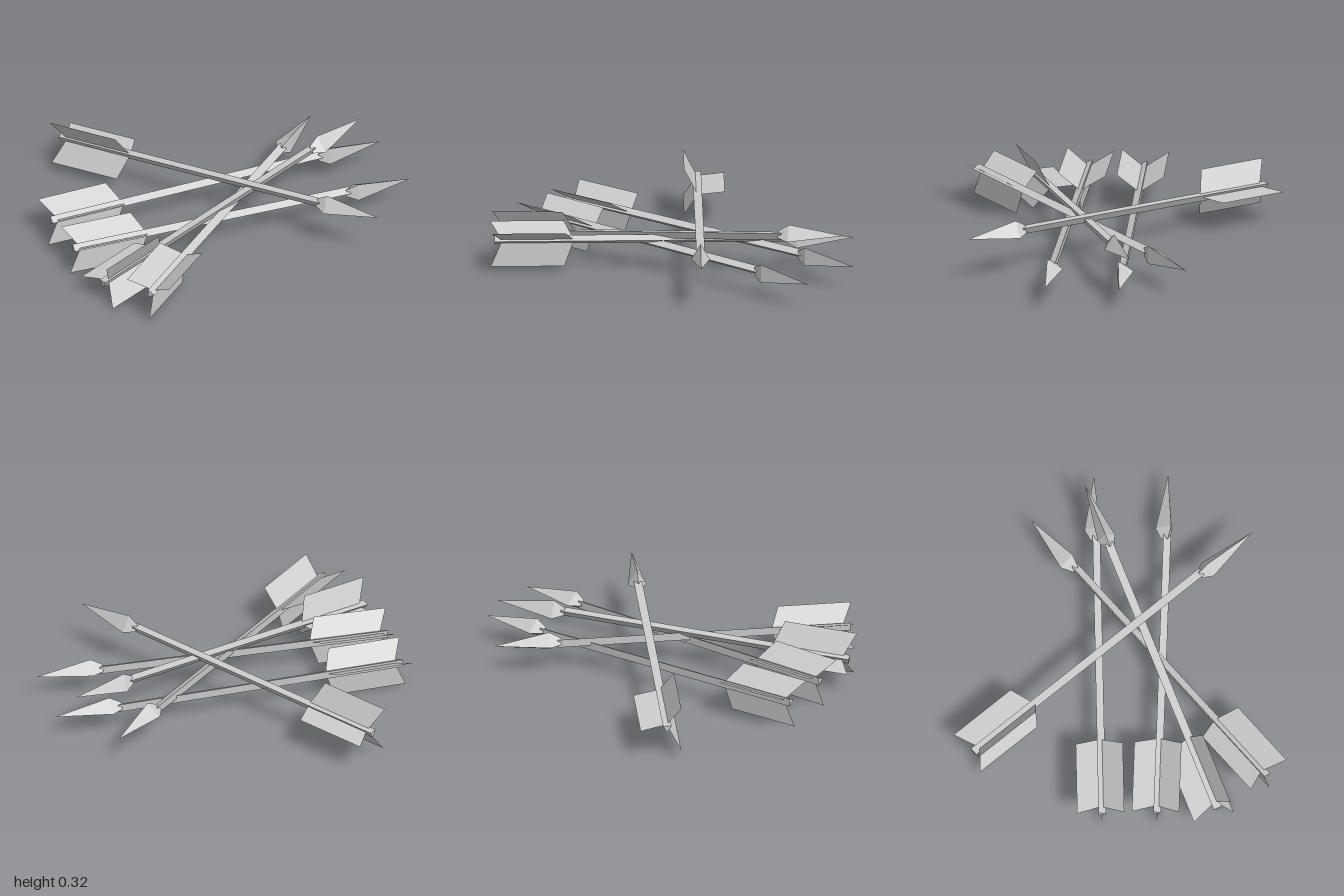
import * as THREE from 'three';

const LENGTH = 1.89, BACK = 1.53, SHOULDER = 1.59;

// Three-sided tapered bar running along z from z0 to z1
function triangularBar(r0, r1, z0, z1, start = 0) {
  return new THREE.CylinderGeometry(r1, r0, z1 - z0, 3, 1, false, start)
    .rotateX(Math.PI / 2)
    .translate(0, 0, (z0 + z1) / 2);
}

export function createModel() {
  const model = new THREE.Group();
  model.name = 'arrows';
  const grey = new THREE.MeshStandardMaterial({ color: 0xcccccc, flatShading: true, side: THREE.DoubleSide });
  grey.name = 'light grey';

  const shaftGeometry = triangularBar(0.026, 0.026, 0, BACK + 0.02);
  const socketGeometry = triangularBar(0.024, 0.056, BACK, SHOULDER, Math.PI);
  const pointGeometry = triangularBar(0.056, 0, SHOULDER, LENGTH, Math.PI);

  // Swept-back feather: x is the distance from the shaft, z runs along it
  const featherGeometry = new THREE.ShapeGeometry(new THREE.Shape([
    new THREE.Vector2(0, 0.04),
    new THREE.Vector2(0.143, -0.02),
    new THREE.Vector2(0.143, 0.368),
    new THREE.Vector2(0, 0.418),
  ])).rotateX(Math.PI / 2);

  // Tail position, tip position, roll in degrees
  const arrows = [
    [[-0.88, 0.15, -0.19], [0.985, 0.142, 0.105], 28],
    [[-0.925, 0.15, 0.095], [0.925, 0.145, 0.49], 28],
    [[-0.95, 0.127, 0.42], [0.9, 0.28, 0.04], -6],
    [[-0.835, 0.175, 0.7], [0.795, 0.17, -0.265], 28],
    [[-0.435, 0.182, -0.79], [0.49, 0.266, 0.865], 0],
  ];

  arrows.forEach(([tail, tip, roll], i) => {
    const arrow = new THREE.Group();
    arrow.name = `arrow${i + 1}`;
    const add = (name, geometry) => {
      const mesh = new THREE.Mesh(geometry, grey);
      mesh.name = name;
      arrow.add(mesh);
      return mesh;
    };
    add('shaft', shaftGeometry);
    add('headSocket', socketGeometry);
    add('headPoint', pointGeometry);
    for (let k = 0; k < 3; k++) {
      add(`feather${k + 1}`, featherGeometry).rotation.z = k * Math.PI * 2 / 3;
    }
    arrow.position.set(...tail);
    arrow.lookAt(new THREE.Vector3(...tip));
    arrow.rotateZ(THREE.MathUtils.degToRad(roll));
    model.add(arrow);
  });
  return model;
}
